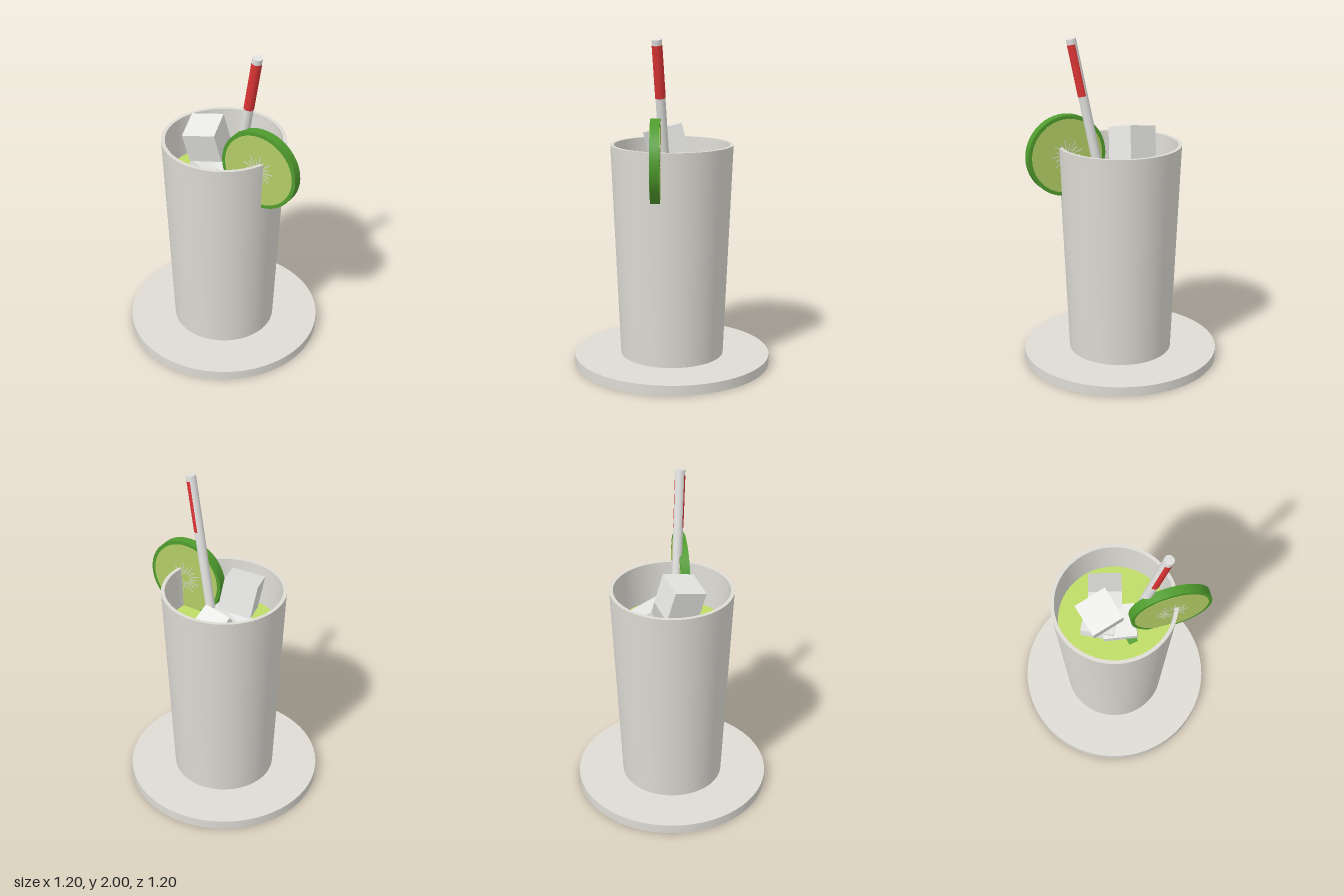
import * as THREE from 'three';
import { toCreasedNormals } from 'three/addons/utils/BufferGeometryUtils.js';

export function createModel() {
  const model = new THREE.Group();
  model.name = 'icedDrink';

  const material = (name, color) => {
    const m = new THREE.MeshStandardMaterial({ color });
    m.name = name;
    return m;
  };
  const glassGrey = material('glassGrey', 0xdddbd4);
  const iceWhite = material('iceWhite', 0xe6e6e4);
  const strawWhite = material('strawWhite', 0xe2e2e0);
  const stripeRed = material('stripeRed', 0xde3535);
  const drinkGreen = material('drinkGreen', 0xbfdc66);
  const fleshGreen = material('fleshGreen', 0xb3cd66);
  const peelGreen = material('peelGreen', 0x4f9c2e);
  const spokeWhite = material('spokeWhite', 0xd2d8c4);

  const add = (parent, name, geometry, mat, x = 0, y = 0, z = 0) => {
    const mesh = new THREE.Mesh(geometry, mat);
    mesh.name = name;
    mesh.position.set(x, y, z);
    parent.add(mesh);
    return mesh;
  };

  // Coaster
  add(model, 'coaster', new THREE.CylinderGeometry(0.6, 0.6, 0.06, 64), glassGrey, 0, 0.03, 0);

  // Tapered tumbler: floor, outer wall, rim, inner wall, inner floor
  const profile = [[0, 0.061], [0.316, 0.061], [0.37, 1.36], [0.348, 1.36], [0.298, 0.12], [0, 0.12]]
    .map(([r, y]) => new THREE.Vector2(r, y));
  add(model, 'glass', toCreasedNormals(new THREE.LatheGeometry(profile, 64), 0.6), glassGrey);

  // Drink
  add(model, 'drink', new THREE.CylinderGeometry(0.337, 0.298, 0.97, 64), drinkGreen, 0, 0.615, 0);

  // Ice cubes: the highest one has its own axes, built from two top edges
  const cube = new THREE.BoxGeometry(0.2, 0.2, 0.2);
  const topIce = add(model, 'iceCube', cube, iceWhite);
  const edgeX = new THREE.Vector3(0.16, 0.03, -0.1).normalize();
  const edgeZ = new THREE.Vector3(0.115, -0.04, 0.15).normalize();
  const up = new THREE.Vector3().crossVectors(edgeZ, edgeX).normalize();
  edgeZ.crossVectors(edgeX, up);
  topIce.quaternion.setFromRotationMatrix(new THREE.Matrix4().makeBasis(edgeX, up, edgeZ));
  topIce.position.set(-0.085, 1.445, 0.09).addScaledVector(up, -0.1);

  const ice = [
    [-0.06, 1.14, -0.125, -0.6, 0.04, 0.02],
    [0.035, 1.07, 0.03, 0.1, 0.12, 0.08],
    [-0.08, 1.06, 0.03, -0.1, -0.15, 0.05],
  ];
  for (const [x, y, z, rx, ry, rz] of ice) {
    add(model, 'iceCube', cube, iceWhite, x, y, z).rotation.set(rx, ry, rz);
  }

  // Leaning straw with a stripe wrapped part of the way round
  const strawBottom = new THREE.Vector3(-0.07, 0.2, 0);
  const strawTop = new THREE.Vector3(0.285, 1.993, 0);
  const strawAxis = strawTop.clone().sub(strawBottom);
  const length = strawAxis.length();
  const straw = new THREE.Group();
  straw.name = 'straw';
  straw.position.copy(strawBottom);
  straw.quaternion.setFromUnitVectors(new THREE.Vector3(0, 1, 0), strawAxis.normalize());
  model.add(straw);
  add(straw, 'strawTube', new THREE.CylinderGeometry(0.029, 0.029, length, 24), strawWhite, 0, length / 2, 0);
  add(straw, 'strawStripe',
    new THREE.CylinderGeometry(0.0305, 0.0305, 0.31, 24, 1, true, -Math.PI / 6, Math.PI * 4 / 3),
    stripeRed, 0, length - 0.187, 0);

  // Fruit slice: peel disc, flesh plates and a burst of pale spokes on both faces
  const fruitSlice = (name, radius) => {
    const slice = new THREE.Group();
    slice.name = name;
    const disc = (r, depth) => new THREE.CylinderGeometry(r, r, depth, 48).rotateX(Math.PI / 2);
    add(slice, 'peel', disc(radius, 0.056), peelGreen);
    add(slice, 'flesh', disc(radius * 0.91, 0.06), fleshGreen);
    const spokes = 18;
    for (let i = 0; i < spokes; i++) {
      const inner = 0.03;
      const outer = i % 2 ? 0.08 : 0.1;
      const geometry = new THREE.BoxGeometry(outer - inner, 0.006, 0.063);
      geometry.translate((inner + outer) / 2, 0, 0);
      add(slice, 'spoke', geometry, spokeWhite).rotation.z = (i / spokes) * Math.PI * 2;
    }
    model.add(slice);
    return slice;
  };

  // Slice wedged on the rim
  const rimSlice = fruitSlice('rimFruitSlice', 0.245);
  rimSlice.position.set(0.325, 1.305, -0.003);
  rimSlice.rotation.y = 0.3;

  // Slice floating upright, its peel just breaking the surface
  const sunkSlice = fruitSlice('sunkFruitSlice', 0.2);
  sunkSlice.position.set(0.075, 0.925, 0.065);
  sunkSlice.rotation.y = -1.1;

  return model;
}
